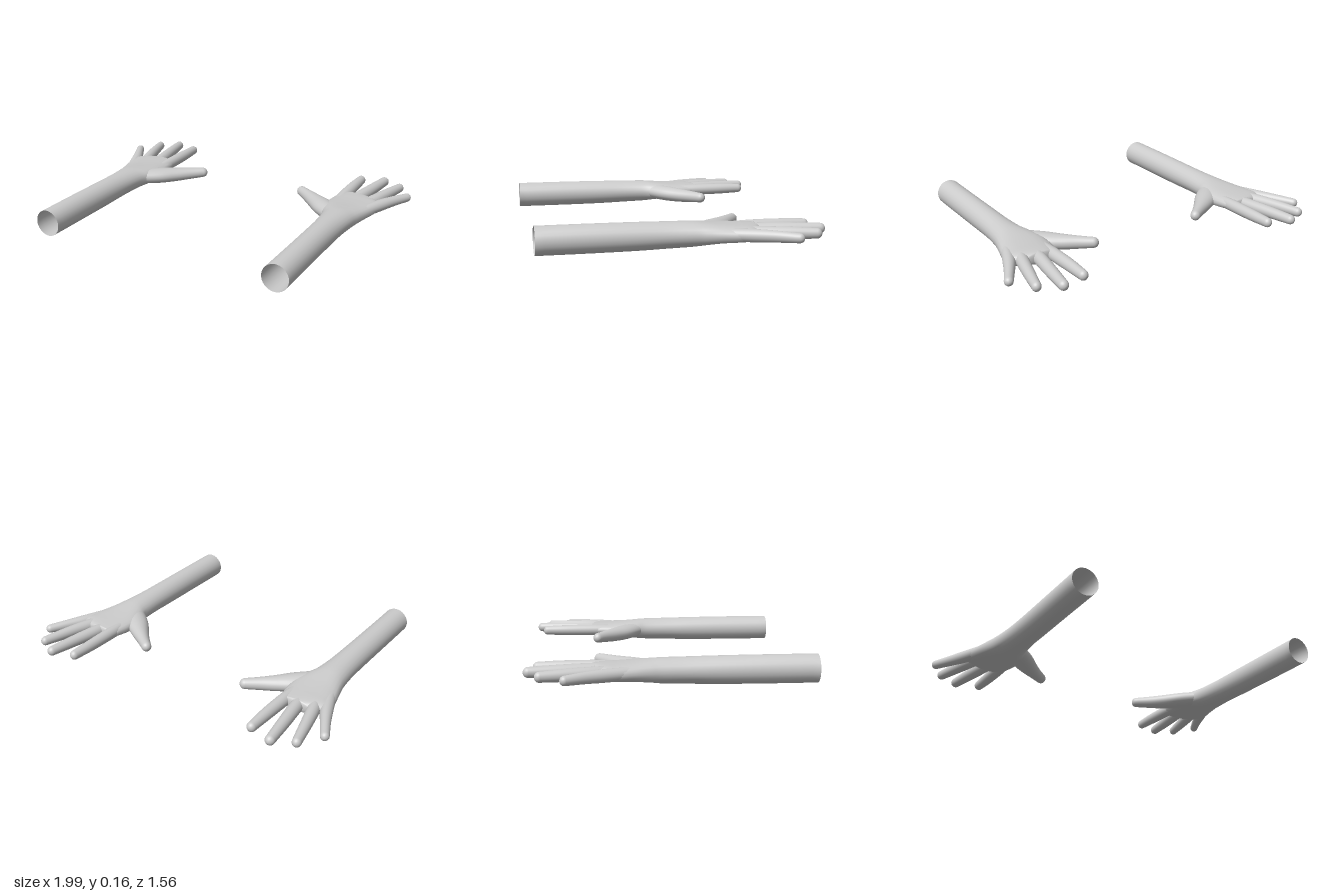
import * as THREE from 'three';

const SIDES = 24;

// Smooth loft through sections [x, y, z, halfWidth, halfHeight, squareness],
// closed by a dome of the given length. mirror = 1 or -1 flips it across x.
function loft(sections, dome, mirror, steps) {
  const centres = new THREE.CatmullRomCurve3(
    sections.map(s => new THREE.Vector3(s[0], s[1], s[2])), false, 'catmullrom', 0.5);
  const sizes = new THREE.CatmullRomCurve3(
    sections.map(s => new THREE.Vector3(s[3], s[4], s[5] ?? 2)), false, 'catmullrom', 0.5);
  const dir = centres.getPoint(1).sub(centres.getPoint(0)).setY(0).normalize();
  const side = new THREE.Vector3(0, 1, 0).cross(dir);

  const rings = [];
  for (let i = 0; i <= steps; i++) {
    rings.push([centres.getPoint(i / steps), sizes.getPoint(i / steps), 1]);
  }
  const [endCentre, endSize] = rings[steps];
  for (let k = 1; k <= 6; k++) {
    const a = k / 6 * Math.PI / 2;
    rings.push([endCentre.clone().addScaledVector(dir, dome * Math.sin(a)), endSize, Math.cos(a)]);
  }

  const positions = [], index = [];
  const power = (v, n) => Math.sign(v) * Math.pow(Math.abs(v), 2 / n);
  rings.forEach(([c, size, scale], i) => {
    for (let j = 0; j < SIDES; j++) {
      const a = j / SIDES * Math.PI * 2;
      const u = power(Math.cos(a), size.z) * size.x * scale;
      const v = power(Math.sin(a), size.z) * size.y * scale;
      positions.push(mirror * (c.x + side.x * u), c.y + v, c.z + side.z * u);
      if (i === rings.length - 1) continue;
      const p = i * SIDES + j, q = i * SIDES + (j + 1) % SIDES;
      const r = p + SIDES, t = q + SIDES;
      if (mirror > 0) index.push(p, q, r, q, t, r);
      else index.push(p, r, q, q, r, t);
    }
  });
  const geometry = new THREE.BufferGeometry();
  geometry.setAttribute('position', new THREE.Float32BufferAttribute(positions, 3));
  geometry.setIndex(index);
  geometry.computeVertexNormals();
  return geometry;
}

// Forearm, wrist and palm: [z, inner x, outer x, bottom y, top y, squareness]
const FOREARM_AND_PALM = [
  [0.78, 0.641, 0.795, 0.002, 0.158, 2],
  [0.5, 0.641, 0.795, 0.002, 0.158, 2],
  [0.25, 0.638, 0.796, 0.004, 0.156, 2],
  [0.08, 0.633, 0.801, 0.009, 0.153, 2],
  [-0.05, 0.62, 0.814, 0.014, 0.15, 2.1],
  [-0.12, 0.597, 0.828, 0.022, 0.144, 2.3],
  [-0.2, 0.575, 0.85, 0.032, 0.136, 2.5],
  [-0.28, 0.577, 0.872, 0.038, 0.131, 2.6],
  [-0.34, 0.585, 0.88, 0.044, 0.129, 2.6],
  [-0.38, 0.592, 0.85, 0.05, 0.127, 2.4],
  [-0.405, 0.604, 0.80, 0.055, 0.125, 2.2],
].map(([z, x0, x1, y0, y1, n]) =>
  [(x0 + x1) / 2, (y0 + y1) / 2, z, (x1 - x0) / 2, (y1 - y0) / 2, n]);

// Each digit starts inside the palm and ends in a round tip
const DIGITS = {
  thumb: [
    [0.66, 0.083, -0.12, 0.06, 0.045],
    [0.575, 0.079, -0.2, 0.066, 0.047],
    [0.497, 0.077, -0.267, 0.052, 0.043],
    [0.425, 0.078, -0.325, 0.038, 0.037],
    [0.357, 0.08, -0.378, 0.03, 0.031],
  ],
  indexFinger: [
    [0.632, 0.088, -0.28, 0.036, 0.034],
    [0.627, 0.09, -0.42, 0.036, 0.036],
    [0.624, 0.091, -0.58, 0.033, 0.034],
    [0.625, 0.091, -0.71, 0.027, 0.029],
  ],
  middleFinger: [
    [0.698, 0.088, -0.28, 0.036, 0.034],
    [0.715, 0.09, -0.42, 0.037, 0.037],
    [0.74, 0.091, -0.58, 0.034, 0.035],
    [0.765, 0.092, -0.752, 0.028, 0.029],
  ],
  ringFinger: [
    [0.765, 0.088, -0.27, 0.034, 0.034],
    [0.808, 0.09, -0.4, 0.036, 0.036],
    [0.846, 0.091, -0.54, 0.032, 0.034],
    [0.884, 0.091, -0.69, 0.026, 0.028],
  ],
  littleFinger: [
    [0.82, 0.088, -0.24, 0.034, 0.034],
    [0.868, 0.089, -0.36, 0.035, 0.035],
    [0.917, 0.09, -0.46, 0.029, 0.031],
    [0.972, 0.089, -0.562, 0.025, 0.026],
  ],
};

function createArm(name, mirror, material) {
  const arm = new THREE.Group();
  arm.name = name;
  const add = (partName, geometry) => {
    const mesh = new THREE.Mesh(geometry, material);
    mesh.name = partName;
    arm.add(mesh);
  };
  add('forearmAndPalm', loft(FOREARM_AND_PALM, 0.012, mirror, 60));
  for (const [digit, sections] of Object.entries(DIGITS)) {
    const tipWidth = sections[sections.length - 1][3];
    add(digit, loft(sections, tipWidth, mirror, 20));
  }
  return arm;
}

export function createModel() {
  // The sleeve end of each forearm is open, so both sides show
  const material = new THREE.MeshStandardMaterial({ color: 0xcccccc, side: THREE.DoubleSide });
  const model = new THREE.Group();
  model.name = 'pairOfArms';
  model.add(createArm('leftArm', 1, material), createArm('rightArm', -1, material));
  return model;
}
